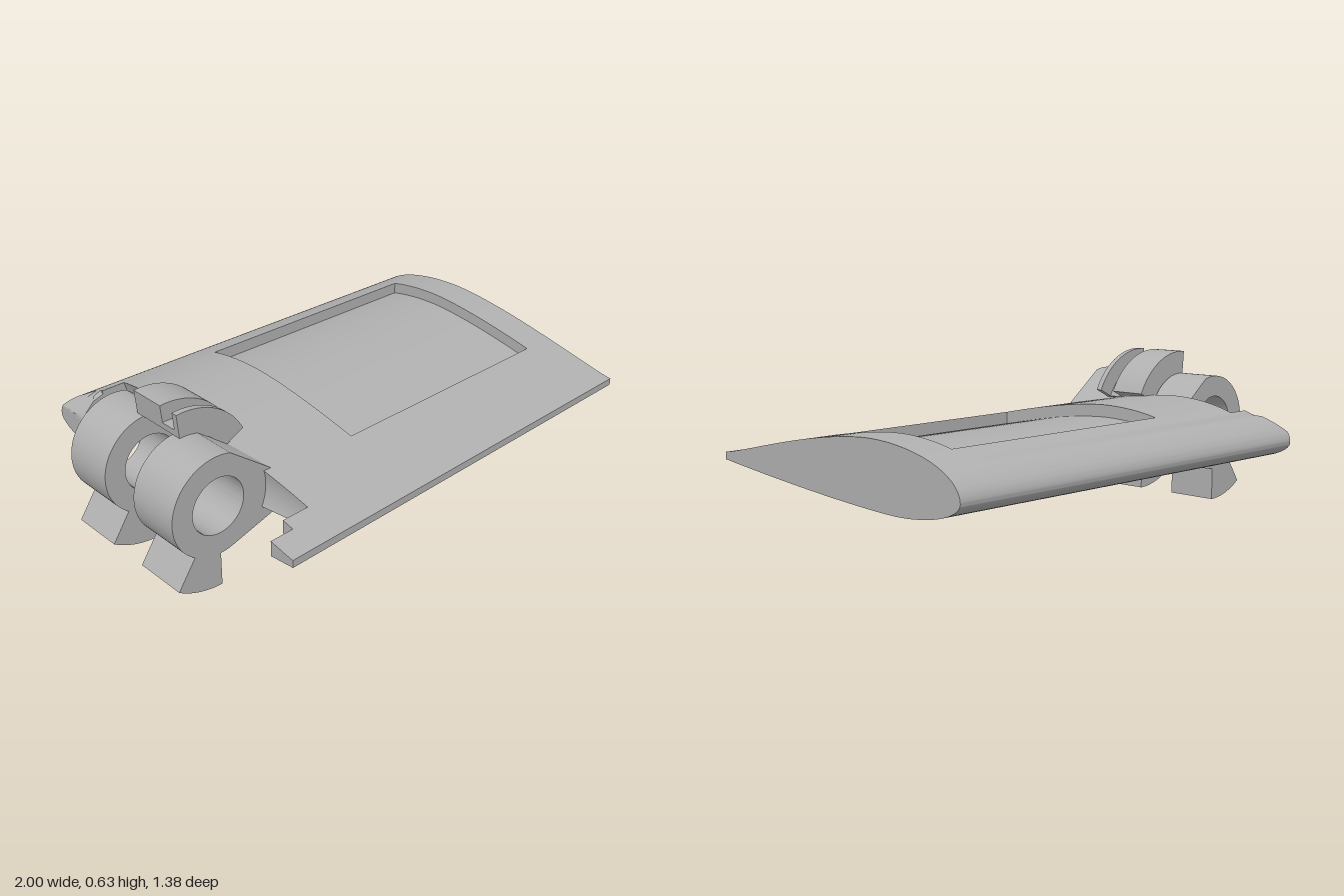
import * as THREE from 'three';
import { mergeGeometries, toCreasedNormals } from 'three/addons/utils/BufferGeometryUtils.js';

const PIVOT = { x: -0.8, y: 0.335 };
const ROWS = 14;
const rad = THREE.MathUtils.degToRad;

// Airfoil height above and below, as functions of chord position
const topAt = z => z < -0.22
  ? 0.29 + 0.17 * Math.sqrt(Math.max(0, 1 - ((z + 0.22) / 0.47) ** 2))
  : 0.46 - 0.15 * (1 - Math.pow(Math.max(0, 1 - Math.pow((z + 0.22) / 0.91, 1.6)), 1.2));
const bottomAt = z => z < -0.35
  ? 0.29 - 0.09 * Math.sqrt(Math.max(0, 1 - ((z + 0.35) / 0.34) ** 2))
  : 0.2 + 0.08 * Math.pow((z + 0.35) / 1.04, 1.4);
const taper = x => 1 - 0.055 * (x + 0.8) / 1.8;

// Root edge shapes: clearance around the hinge, and the sloped nose lip
const hingeCut = y => PIVOT.x + Math.sqrt(0.215 ** 2 - (y - PIVOT.y) ** 2);
const noseCut = y => (y <= 0.33 ? -0.8 : y < 0.4 ? -0.8 + (y - 0.33) : -0.7);

// Solid piece of wing between two chord positions and two span limits
function wingSlice(z0, z1, left, right, sunk = 0) {
  const pos = [], index = [], count = 2 * ROWS;
  const steps = Math.max(3, Math.ceil((z1 - z0) / 0.03));
  const nose = z0 < -0.6;
  const n = nose ? 20 : steps;
  for (let k = 0; k <= n; k++) {
    const t = k / n;
    const z = z0 + (z1 - z0) * (nose ? t * t : t);
    const low = bottomAt(z), high = topAt(z) - sunk;
    const put = (side, j) => {
      const y = low + (high - low) * j / (ROWS - 1);
      const x = side(y), s = taper(x);
      pos.push(x, 0.29 + (y - 0.29) * s, z * s);
    };
    for (let j = 0; j < ROWS; j++) put(right, j);
    for (let j = ROWS - 1; j >= 0; j--) put(left, j);
  }
  const quad = (a, b, c, d) => index.push(a, b, c, a, c, d);
  for (let k = 0; k < n; k++) {
    for (let i = 0; i < count; i++) {
      const a = k * count + i, b = k * count + (i + 1) % count;
      quad(a, b, b + count, a + count);
    }
  }
  const end = n * count;
  for (let j = 0; j < ROWS - 1; j++) {
    const l = count - 1 - j;
    quad(end + l, end + j, end + j + 1, end + l - 1);
    quad(l, l - 1, j + 1, j);
  }
  const geo = new THREE.BufferGeometry();
  geo.setAttribute('position', new THREE.Float32BufferAttribute(pos, 3));
  geo.setIndex(index);
  return geo;
}

function extrude(shape, z0, z1) {
  const geo = new THREE.ExtrudeGeometry(shape, { depth: z1 - z0, bevelEnabled: false, curveSegments: 40 });
  return toCreasedNormals(geo.translate(0, 0, z0), 0.5);
}

// Ring knuckle with a stop lug below and a wedge running into the wing
function knuckleShape() {
  const { x, y } = PIVOT;
  const s = new THREE.Shape();
  s.moveTo(-0.38, 0.39);
  s.absarc(x, y, 0.2, rad(72), rad(235.5), false);
  s.absarc(x, y, 0.335, rad(235.5), rad(270), false);
  s.absarc(x, y, 0.2, rad(270), rad(286), false);
  s.lineTo(-0.38, 0.25);
  s.closePath();
  s.holes.push(new THREE.Path().absarc(x, y, 0.113, 0, Math.PI * 2, true));
  return s;
}

function sectorShape(inner, outer, from, to) {
  const s = new THREE.Shape();
  s.absarc(PIVOT.x, PIVOT.y, outer, rad(from), rad(to), false);
  s.absarc(PIVOT.x, PIVOT.y, inner, rad(to), rad(from), true);
  s.closePath();
  return s;
}

export function createModel() {
  const model = new THREE.Group();
  const grey = new THREE.MeshStandardMaterial({ color: 0xb0b0b0 });
  grey.name = 'plainGrey';
  const add = (name, geo) => {
    const mesh = new THREE.Mesh(geo, grey);
    mesh.name = name;
    model.add(mesh);
  };
  const at = x => () => x;

  // Wing panel with a sunken pocket on top
  const slices = [
    wingSlice(-0.69, -0.535, noseCut, at(1)),
    wingSlice(-0.535, -0.48, hingeCut, at(1)),
    wingSlice(-0.48, 0.34, hingeCut, at(-0.19)),
    wingSlice(-0.48, 0.34, at(-0.19), at(0.855), 0.05),
    wingSlice(-0.48, 0.34, at(0.855), at(1)),
    wingSlice(0.34, 0.53, hingeCut, at(1)),
    wingSlice(0.53, 0.58, at(-0.7), at(1)),
    wingSlice(0.58, 0.69, at(-0.8), at(1)),
  ];
  add('wingPanel', toCreasedNormals(mergeGeometries(slices), 0.5));

  // Hinge knuckles
  add('frontKnuckle', extrude(knuckleShape(), 0.085, 0.305));
  add('rearKnuckle', extrude(knuckleShape(), -0.305, -0.088));

  // Curved guide between the knuckles: wide block, groove and thin flange
  add('guideBlock', extrude(sectorShape(0.2, 0.296, 26, 95), -0.123, 0.032));
  add('guideGroove', extrude(sectorShape(0.2, 0.226, 26, 95), 0.032, 0.1));
  add('guideFlange', extrude(sectorShape(0.19, 0.296, 26, 95), 0.1, 0.125));

  return model;
}
